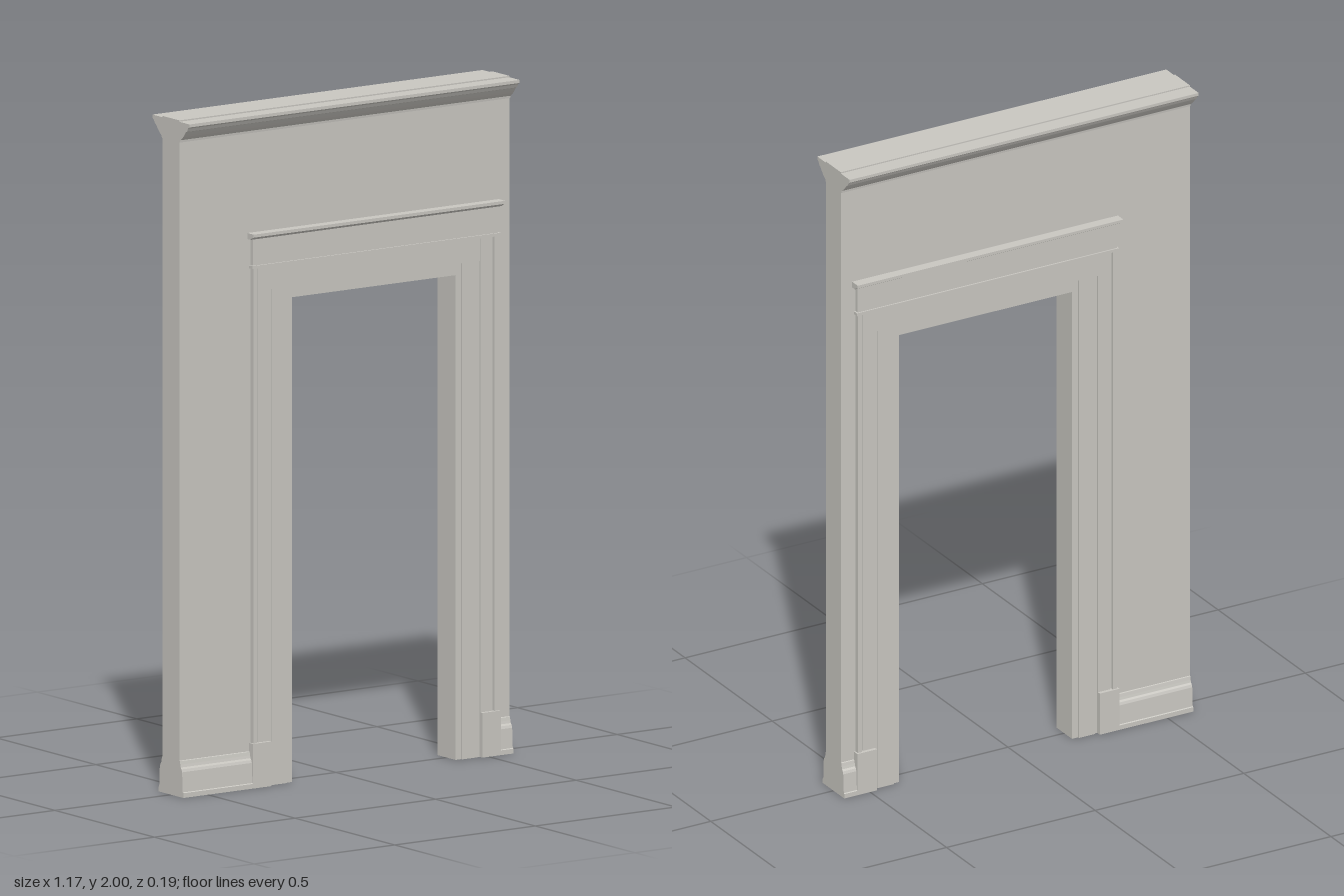
import * as THREE from 'three';

const stone = new THREE.MeshStandardMaterial({ color: 0xc8c6c0 });
stone.name = 'warm grey';

const X0 = -0.587, X1 = 0.587; // wall ends
const CX = 0.102;              // middle of the doorway
const WALL = 0.042;            // half thickness of the wall

export function createModel() {
  const model = new THREE.Group();

  const add = (name, geometry) => {
    const mesh = new THREE.Mesh(geometry, stone);
    mesh.name = name;
    model.add(mesh);
  };

  // Box running through the wall, standing out equally on both sides
  const block = (name, x0, x1, y0, y1, halfDepth) => {
    const g = new THREE.BoxGeometry(x1 - x0, y1 - y0, 2 * halfDepth);
    add(name, g.translate((x0 + x1) / 2, (y0 + y1) / 2, 0));
  };

  // Pair of uprights, given by distances from the doorway's middle
  const pair = (name, inner, outer, y0, y1, halfDepth) => {
    block('left' + name, CX + inner, CX + outer, y0, y1, halfDepth);
    block('right' + name, CX - outer, CX - inner, y0, y1, halfDepth);
  };

  // Moulding with a (z, y) profile, run along x on front and back
  const moulding = (name, profile, x0, x1) => {
    const shape = new THREE.Shape(profile.map(([z, y]) => new THREE.Vector2(z, y)));
    for (const side of ['front', 'back']) {
      const g = new THREE.ExtrudeGeometry(shape, { depth: x1 - x0, bevelEnabled: false });
      g.rotateY(-Math.PI / 2);
      if (side === 'front') g.translate(x1, 0, 0);
      else g.translate(-x0, 0, 0).rotateY(Math.PI);
      add(side + name, g);
    }
  };

  // Wall with the doorway cut out
  const opening = 0.291, cut = 0.3, head = 1.433;
  const wall = new THREE.Shape([
    [X0, 0], [CX - cut, 0], [CX - cut, 1.45], [CX + cut, 1.45],
    [CX + cut, 0], [X1, 0], [X1, 2], [X0, 2],
  ].map(([x, y]) => new THREE.Vector2(x, y)));
  add('wall', new THREE.ExtrudeGeometry(wall, { depth: 2 * WALL, bevelEnabled: false })
    .translate(0, 0, -WALL));

  // Crown moulding
  moulding('Crown', [
    [0.036, 1.935], [0.046, 1.935], [0.047, 1.942], [0.053, 1.946], [0.061, 1.953],
    [0.068, 1.961], [0.075, 1.97], [0.08, 1.972], [0.086, 1.982], [0.093, 1.987],
    [0.093, 1.996], [0.036, 1.996],
  ], X0, X1);

  // Baseboards on both sides of the doorway
  const base = [
    [0.036, 0], [0.062, 0], [0.062, 0.014], [0.059, 0.016], [0.056, 0.075],
    [0.053, 0.083], [0.049, 0.088], [0.047, 0.096], [0.045, 0.106], [0.036, 0.11],
  ];
  moulding('RightBaseboard', base, X0, CX - 0.44);
  moulding('LeftBaseboard', base, CX + 0.44, X1);

  // Jamb lining and its head
  pair('Jamb', opening, 0.311, 0, 1.467, 0.045);
  block('jambHead', CX - opening, CX + opening, head, 1.467, 0.045);

  // Flat inner casing with a shadow line on its outside
  pair('InnerCasing', 0.311, 0.366, 0, 1.467, 0.05);
  pair('CasingGroove', 0.366, 0.375, 0, 1.467, 0.046);
  block('innerCasingHead', CX - 0.375, CX + 0.375, 1.467, 1.541, 0.05);

  // Stepped outer casing on plinth blocks
  pair('OuterCasing', 0.375, 0.415, 0, 1.541, 0.051);
  pair('CasingStep', 0.415, 0.422, 0, 1.541, 0.047);
  pair('CasingBand', 0.422, 0.436, 0, 1.541, 0.056);
  pair('Plinth', 0.375, 0.441, 0, 0.132, 0.062);

  // Frieze, bead and cap above the door
  block('frieze', CX - 0.436, CX + 0.436, 1.541, 1.63, 0.055);
  block('friezeBead', CX - 0.441, CX + 0.441, 1.535, 1.544, 0.06);
  moulding('Cap', [
    [0.036, 1.622], [0.058, 1.622], [0.062, 1.626], [0.068, 1.629],
    [0.074, 1.631], [0.074, 1.64], [0.036, 1.64],
  ], CX - 0.447, CX + 0.447);

  return model;
}
